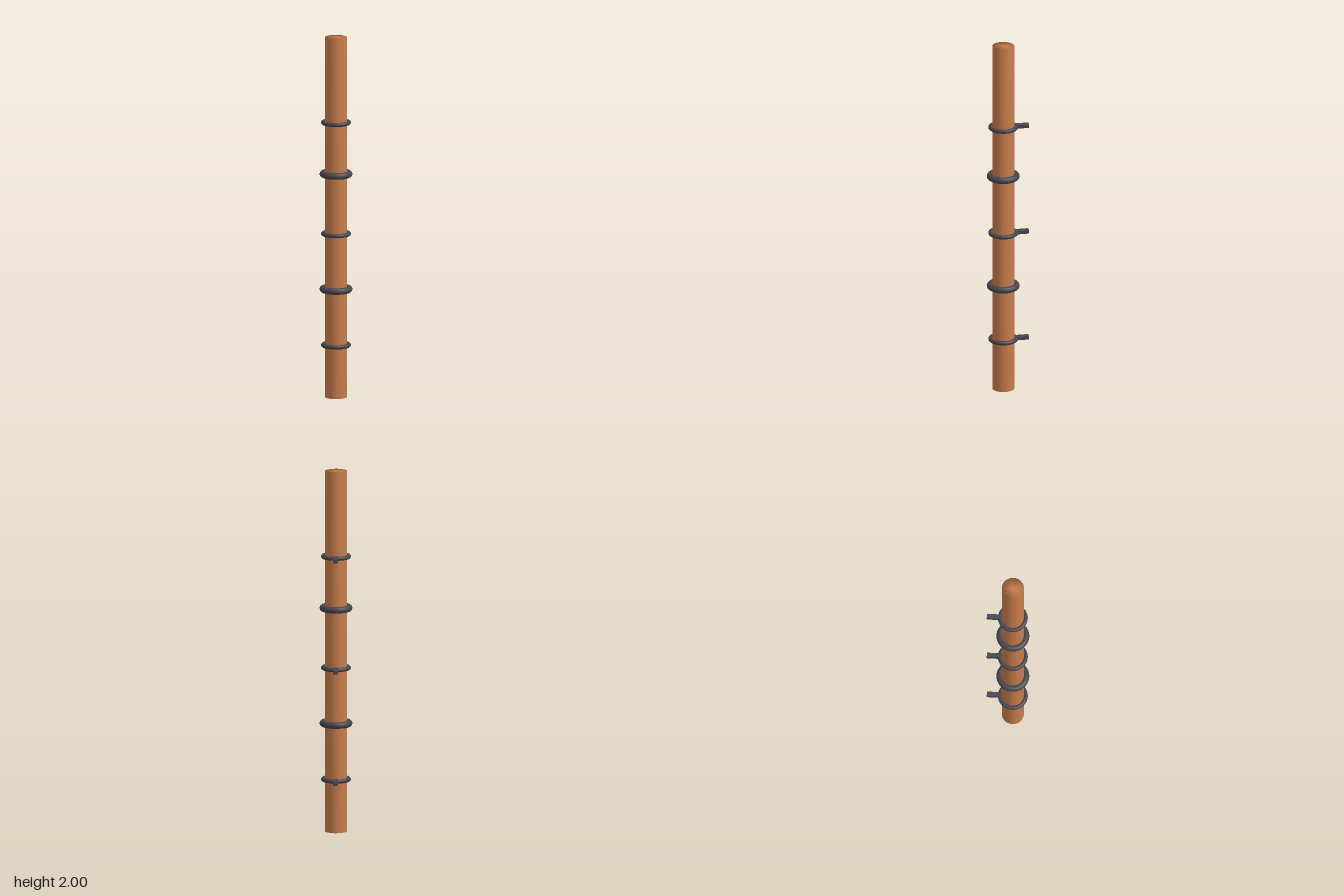
import * as THREE from 'three';
import { RoundedBoxGeometry } from 'three/addons/geometries/RoundedBoxGeometry.js';

const AXIS_Z = 0.026; // pipe axis, offset forward by the wall brackets
const PIPE_R = 0.06;

export function createModel() {
  const group = new THREE.Group();
  const copper = new THREE.MeshStandardMaterial({ color: 0xc87d4b });
  copper.name = 'copper';
  const iron = new THREE.MeshStandardMaterial({ color: 0x45454d });
  iron.name = 'darkIron';

  function add(name, geometry, material, y, z) {
    const mesh = new THREE.Mesh(geometry, material);
    mesh.name = name;
    mesh.position.set(0, y, z);
    group.add(mesh);
  }

  // Pipe with closed ends, shaded smoothly over the rims
  const profile = [[0, 0], [PIPE_R, 0], [PIPE_R, 2], [0, 2]].map(([r, y]) => new THREE.Vector2(r, y));
  add('pipe', new THREE.LatheGeometry(profile, 48), copper, 0, AXIS_Z);

  // Thick coupling rings
  const coupling = new THREE.TorusGeometry(0.0715, 0.018, 16, 48).rotateX(Math.PI / 2);
  for (const y of [0.6, 1.24]) add('couplingRing', coupling, iron, y, AXIS_Z);

  // Thin clamps, each with a bracket reaching back to the wall
  const clamp = new THREE.TorusGeometry(0.07, 0.0115, 16, 48).rotateX(Math.PI / 2);
  const bracket = new RoundedBoxGeometry(0.026, 0.024, 0.084, 2, 0.003);
  for (const y of [0.289, 0.908, 1.526]) {
    add('clampRing', clamp, iron, y, AXIS_Z);
    add('wallBracket', bracket, iron, y, -0.074);
  }
  return group;
}
